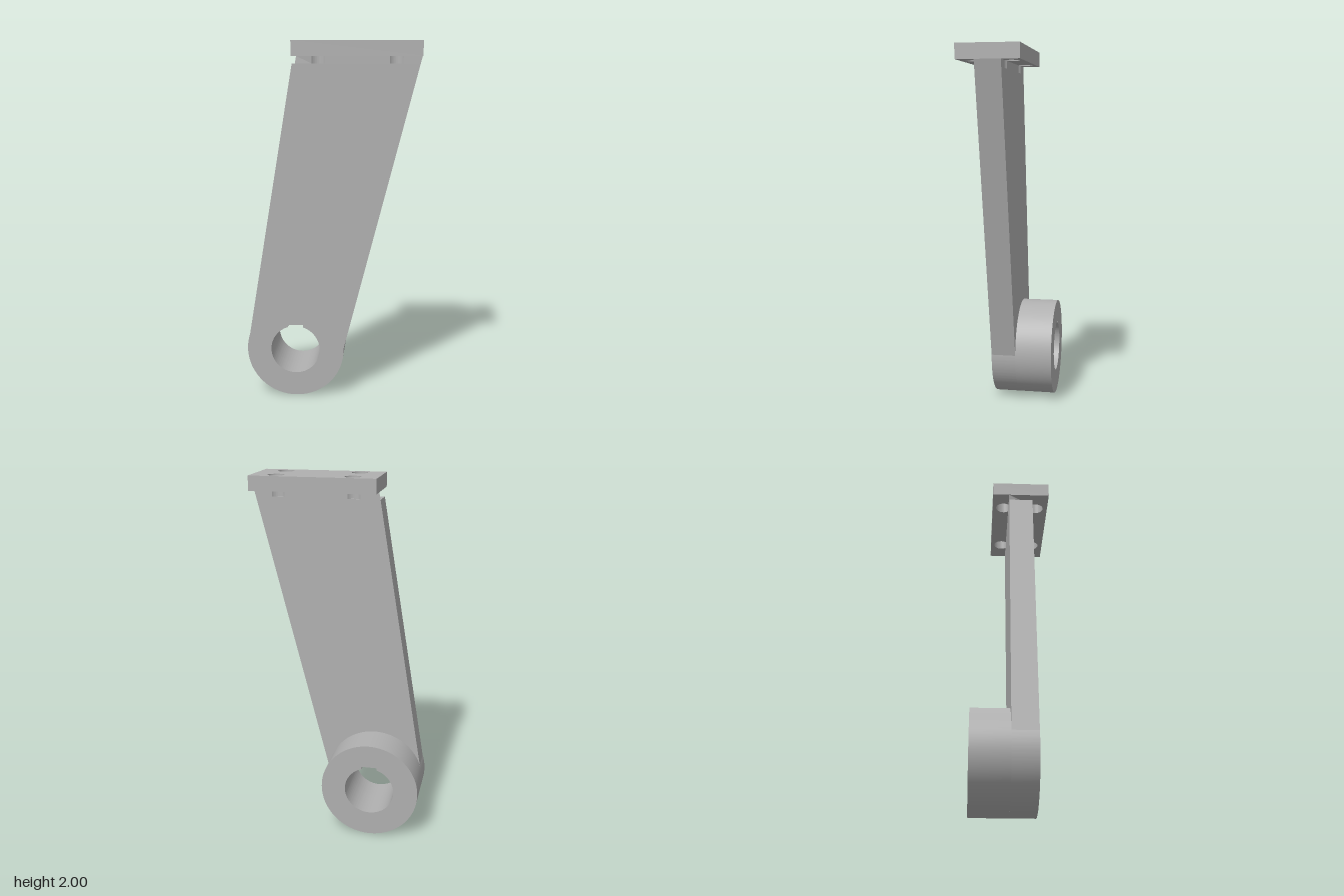
import * as THREE from 'three';
import { toCreasedNormals } from 'three/addons/utils/BufferGeometryUtils.js';

const CX = -0.208, CY = 0.275;            // pivot axis
const R = 0.275, BORE = 0.139;            // boss and bore radii
const ARM_BACK = -0.015, ARM_FRONT = 0.122, BOSS_BACK = -0.22;
const PLATE_BACK = -0.11, PLATE_FRONT = 0.22;
const LEFT = -0.207, RIGHT = 0.48;        // top plate ends
const PLATE_Y = 1.92, POCKET_Y = 1.88;
const HOLE_X = [-0.071, 0.344], HOLE_Z = [-0.044, 0.149], HOLE_R = 0.045;
// where the straight edges of the arm meet the boss
const JOIN_L = [-0.469, 0.36], JOIN_R = [0.067, 0.285];

const steel = new THREE.MeshStandardMaterial({ color: 0xb0b0b0 });
steel.name = 'steel grey';

function extrude(shape, depth) {
  return new THREE.ExtrudeGeometry(shape, { depth, bevelEnabled: false, curveSegments: 64 });
}

function addPart(group, name, geometry) {
  const mesh = new THREE.Mesh(toCreasedNormals(geometry, 0.12), steel);
  mesh.name = name;
  group.add(mesh);
}

// round bore with a keyway slot at the top
function keyedBore() {
  const half = 0.043, a = Math.acos(half / BORE), top = 0.421;
  const path = new THREE.Path();
  path.absarc(CX, CY, BORE, a, Math.PI - a, true);
  path.lineTo(CX - half, top);
  path.lineTo(CX + half, top);
  path.closePath();
  return path;
}

// x of an arm edge at height y
function edgeX(join, topX, y) {
  return join[0] + (topX - join[0]) * (y - join[1]) / (PLATE_Y - join[1]);
}

export function createModel() {
  const group = new THREE.Group();
  group.name = 'supportBracket';

  // tapered arm with a rounded lower end
  const arm = new THREE.Shape();
  const angle = (p) => Math.atan2(p[1] - CY, p[0] - CX);
  arm.moveTo(edgeX(JOIN_R, RIGHT, POCKET_Y), POCKET_Y);
  arm.lineTo(edgeX(JOIN_L, LEFT, POCKET_Y), POCKET_Y);
  arm.absarc(CX, CY, R, angle(JOIN_L), angle(JOIN_R) + Math.PI * 2, false);
  arm.closePath();
  arm.holes.push(keyedBore());
  addPart(group, 'arm', extrude(arm, ARM_FRONT - ARM_BACK).translate(0, 0, ARM_BACK));

  // top band of the arm, notched where the bolt holes run into it
  const band = new THREE.Shape();
  const aF = Math.asin((HOLE_Z[1] - ARM_FRONT) / HOLE_R);
  const aB = Math.asin((ARM_BACK - HOLE_Z[0]) / HOLE_R);
  band.moveTo(LEFT, -ARM_FRONT);
  for (const x of HOLE_X) band.absarc(x, -HOLE_Z[1], HOLE_R, Math.PI - aF, aF, true);
  band.lineTo(RIGHT, -ARM_FRONT);
  band.lineTo(RIGHT, -ARM_BACK);
  for (const x of [...HOLE_X].reverse()) band.absarc(x, -HOLE_Z[0], HOLE_R, -aB, aB - Math.PI, true);
  band.lineTo(LEFT, -ARM_BACK);
  band.closePath();
  const bandGeo = extrude(band, PLATE_Y - POCKET_Y).rotateX(-Math.PI / 2).translate(0, POCKET_Y, 0);
  // slant the two ends to follow the arm edges
  const pos = bandGeo.attributes.position;
  for (let i = 0; i < pos.count; i++) {
    const x = pos.getX(i), y = pos.getY(i);
    if (x < LEFT + 0.01) pos.setX(i, edgeX(JOIN_L, LEFT, y));
    if (x > RIGHT - 0.01) pos.setX(i, edgeX(JOIN_R, RIGHT, y));
  }
  addPart(group, 'armTopBand', bandGeo);

  // bearing boss behind the arm
  const boss = new THREE.Shape();
  boss.absarc(CX, CY, R, 0, Math.PI * 2, false);
  boss.holes.push(keyedBore());
  addPart(group, 'boss', extrude(boss, ARM_BACK - BOSS_BACK).translate(0, 0, BOSS_BACK));

  // mounting plate with four bolt holes
  const plate = new THREE.Shape();
  plate.moveTo(LEFT, -PLATE_FRONT);
  plate.lineTo(RIGHT, -PLATE_FRONT);
  plate.lineTo(RIGHT, -PLATE_BACK);
  plate.lineTo(LEFT, -PLATE_BACK);
  plate.closePath();
  for (const x of HOLE_X) for (const z of HOLE_Z) {
    plate.holes.push(new THREE.Path().absarc(x, -z, HOLE_R, 0, Math.PI * 2, true));
  }
  addPart(group, 'mountingPlate', extrude(plate, 2 - PLATE_Y).rotateX(-Math.PI / 2).translate(0, PLATE_Y, 0));

  return group;
}
